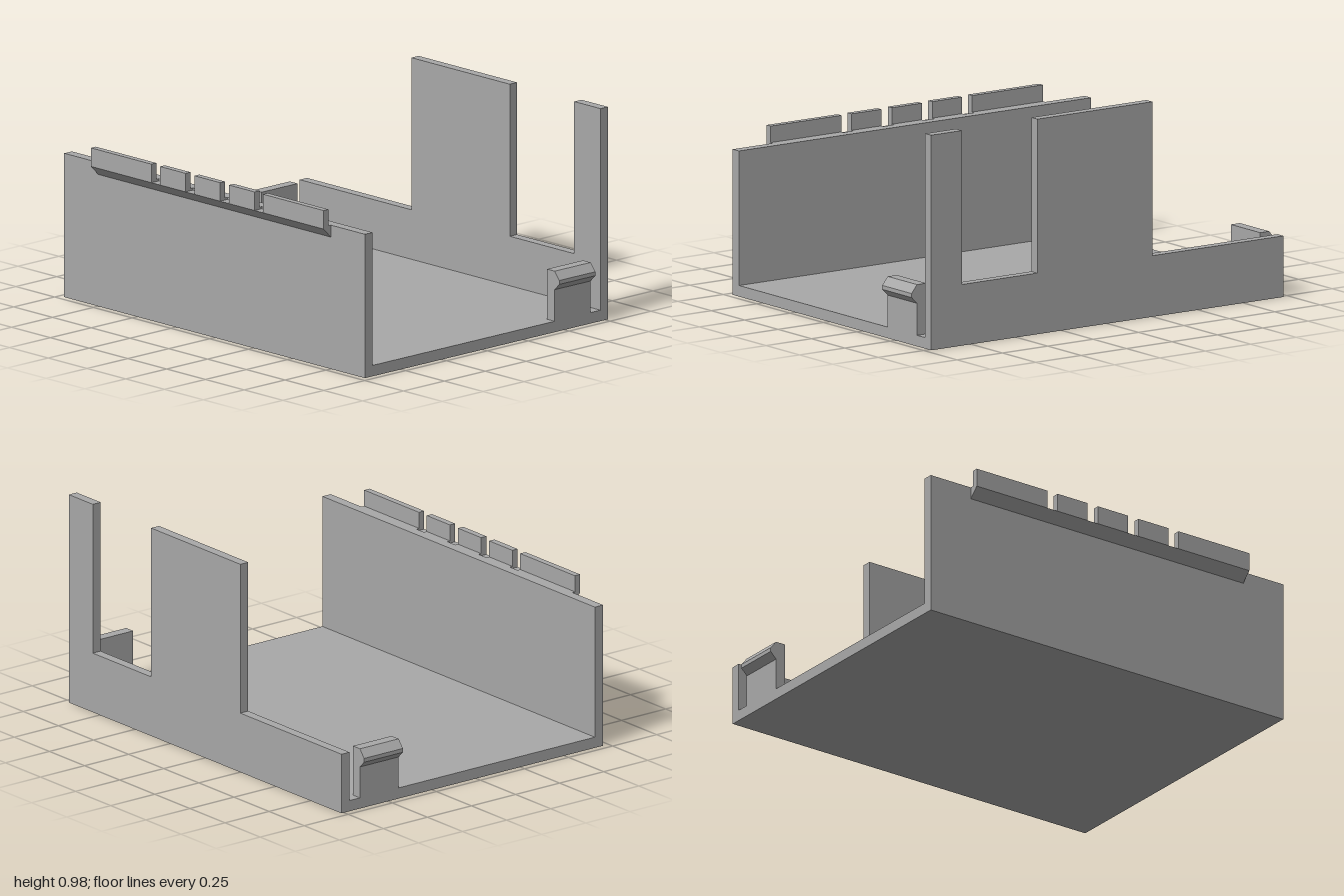
import * as THREE from 'three';

// Closed outline from a list of [x, y] corners
const outline = (pts) => new THREE.Shape(pts.map(([x, y]) => new THREE.Vector2(x, y)));

// Extrude an (x, y) outline along z, from z0 to z1
function alongZ(pts, z0, z1) {
  const g = new THREE.ExtrudeGeometry(outline(pts), { depth: z1 - z0, bevelEnabled: false });
  return g.translate(0, 0, z0);
}

// Extrude a (z, y) outline along x, from x0 to x1
function alongX(pts, x0, x1) {
  const g = new THREE.ExtrudeGeometry(outline(pts), { depth: x1 - x0, bevelEnabled: false });
  return g.rotateY(-Math.PI / 2).translate(x1, 0, 0);
}

export function createModel() {
  const model = new THREE.Group();
  model.name = 'snapInTray';
  const grey = new THREE.MeshStandardMaterial({ color: 0xa8a8a8 });
  grey.name = 'greyPlastic';

  const add = (name, geometry, parent = model) => {
    const mesh = new THREE.Mesh(geometry, grey);
    mesh.name = name;
    parent.add(mesh);
  };

  const W = 0.97;          // half width of the tray
  const floorTop = 0.05;
  const back = -0.765, backInner = -0.72;
  const front = 0.72, frontInner = 0.673;

  // Floor and front wall in one L-shaped profile
  add('floorAndFrontWall', alongX([
    [backInner, 0], [front, 0], [front, 0.66], [frontInner, 0.66],
    [frontInner, floorTop], [backInner, floorTop],
  ], -W, W));

  // Back wall: low rail, wide centre panel and narrow corner post
  const low = 0.277, high = 0.975;
  add('backWall', alongZ([
    [-W, 0], [W, 0], [W, high], [0.8, high], [0.8, low], [0.385, low],
    [0.385, high], [-0.25, high], [-0.25, low], [-W, low],
  ], back, backInner));

  // Front lip: sloped ledge carrying a row of upright tabs
  const lip = new THREE.Group();
  lip.name = 'frontLip';
  model.add(lip);
  add('lipLedge', alongX([[front, 0.605], [0.765, 0.65], [front, 0.65]], -0.75, 0.75), lip);
  const tabProfile = [
    [front, 0.65], [0.765, 0.65], [0.765, 0.735],
    [0.735, 0.735], [0.735, 0.66], [front, 0.66],
  ];
  [[-0.75, -0.36], [-0.305, -0.14], [-0.083, 0.083], [0.14, 0.305], [0.36, 0.75]]
    .forEach(([x0, x1]) => add('lipTab', alongX(tabProfile, x0, x1), lip));

  // Side snap clips with a pointed hook facing outward
  const clipProfile = [
    [0.92, floorTop], [W, floorTop], [W, 0.195], [1, 0.225],
    [1, 0.243], [W, 0.28], [0.92, 0.28],
  ];
  for (const side of [1, -1]) {
    add(side > 0 ? 'leftClip' : 'rightClip',
      alongZ(clipProfile.map(([x, y]) => [x * side, y]), -0.66, -0.44));
  }

  return model;
}
